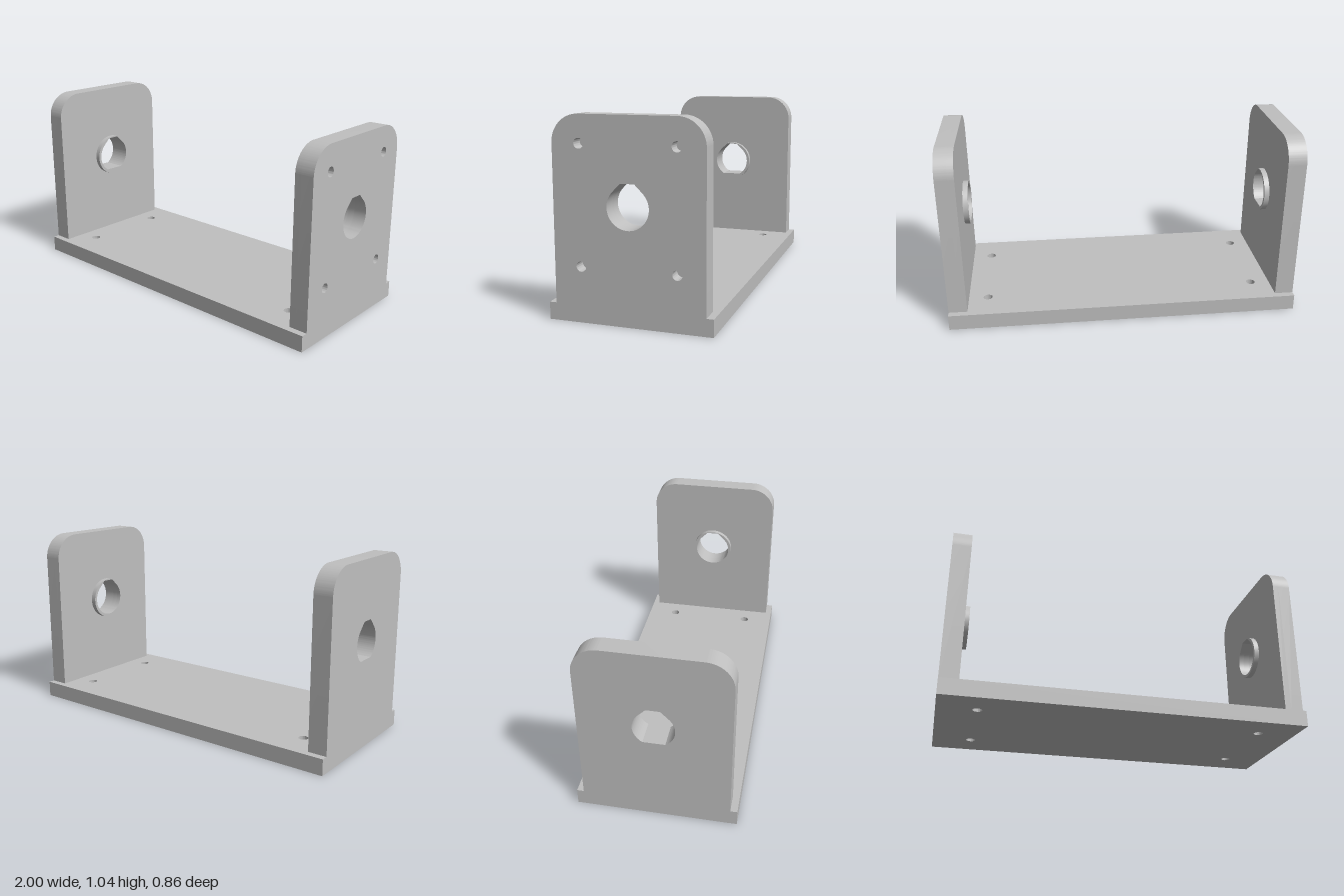
import * as THREE from 'three';
import { toCreasedNormals } from 'three/addons/utils/BufferGeometryUtils.js';

const BASE_H = 0.09, BASE_Z = 0.43;
const WALL_Z = 0.393, WALL_TOP = 1.036, CORNER = 0.142, WALL_IN = 0.895, BOSS_IN = 0.865;
const BORE_Y = 0.592, BORE_R = 0.109, BORE_TOP = 0.71;
const SCREW_R = 0.026, SCREW_DEPTH = 0.07;

const metal = new THREE.MeshStandardMaterial({ color: 0xbfbfbf });
metal.name = 'grey';

function circle(x, y, r) {
  return new THREE.Path().absarc(x, y, r, 0, Math.PI * 2, false);
}

// Teardrop bore with a clipped tip, optionally with a flat floor
function bore(flatFloor) {
  const tip = BORE_Y + BORE_R * Math.SQRT2 - BORE_TOP;
  const start = Math.PI * 0.75, end = Math.PI * 2.25;
  const path = new THREE.Path();
  path.moveTo(tip, BORE_TOP);
  path.lineTo(-tip, BORE_TOP);
  if (flatFloor) {
    const a = Math.asin((BORE_Y - 0.5) / BORE_R);
    path.absarc(0, BORE_Y, BORE_R, start, Math.PI + a, false);
    path.absarc(0, BORE_Y, BORE_R, Math.PI * 2 - a, end, false);
  } else {
    path.absarc(0, BORE_Y, BORE_R, start, end, false);
  }
  return path;
}

function wallShape() {
  const s = new THREE.Shape();
  s.moveTo(-WALL_Z, BASE_H);
  s.lineTo(WALL_Z, BASE_H);
  s.absarc(WALL_Z - CORNER, WALL_TOP - CORNER, CORNER, 0, Math.PI / 2, false);
  s.absarc(CORNER - WALL_Z, WALL_TOP - CORNER, CORNER, Math.PI / 2, Math.PI, false);
  return s;
}

function extrude(shape, depth) {
  const g = new THREE.ExtrudeGeometry(shape, { depth, bevelEnabled: false, curveSegments: 24 });
  return g;
}

// Slab spanning x0..x1, its outline drawn in the z-y plane
function slab(name, shape, x0, x1) {
  const g = extrude(shape, x1 - x0).rotateY(Math.PI / 2).translate(x0, 0, 0);
  const mesh = new THREE.Mesh(toCreasedNormals(g, 0.5), metal);
  mesh.name = name;
  return mesh;
}

export function createModel() {
  const model = new THREE.Group();
  model.name = 'bracket';

  // Base plate with four through holes
  const plate = new THREE.Shape();
  plate.moveTo(-1, -BASE_Z);
  plate.lineTo(1, -BASE_Z);
  plate.lineTo(1, BASE_Z);
  plate.lineTo(-1, BASE_Z);
  for (const x of [-0.785, 0.785])
    for (const z of [-0.25, 0.25]) plate.holes.push(circle(x, z, SCREW_R));
  const plateGeo = extrude(plate, BASE_H).rotateX(-Math.PI / 2);
  const base = new THREE.Mesh(toCreasedNormals(plateGeo, 0.5), metal);
  base.name = 'basePlate';
  model.add(base);

  // Left wall: inner layer is solid, outer layer carries the blind screw holes
  const inner = wallShape(), outer = wallShape();
  inner.holes.push(bore(false));
  outer.holes.push(bore(false));
  for (const z of [-0.25, 0.25])
    for (const y of [0.287, 0.895]) outer.holes.push(circle(z, y, SCREW_R));
  const left = new THREE.Group();
  left.name = 'leftWall';
  left.add(slab('leftWallInner', inner, WALL_IN, 1 - SCREW_DEPTH));
  left.add(slab('leftWallOuter', outer, 1 - SCREW_DEPTH, 1));
  model.add(left);

  // Right wall: plain, with a flat floor in its bore
  const right = wallShape();
  right.holes.push(bore(true));
  model.add(slab('rightWall', right, -1, -WALL_IN));

  // Raised collars around the bores, on the inner faces
  for (const side of [1, -1]) {
    const ring = new THREE.Shape().absarc(0, BORE_Y, 0.126, 0, Math.PI * 2, false);
    ring.holes.push(bore(side < 0));
    const [x0, x1] = side > 0 ? [BOSS_IN, WALL_IN] : [-WALL_IN, -BOSS_IN];
    model.add(slab(side > 0 ? 'leftCollar' : 'rightCollar', ring, x0, x1));
  }
  return model;
}
